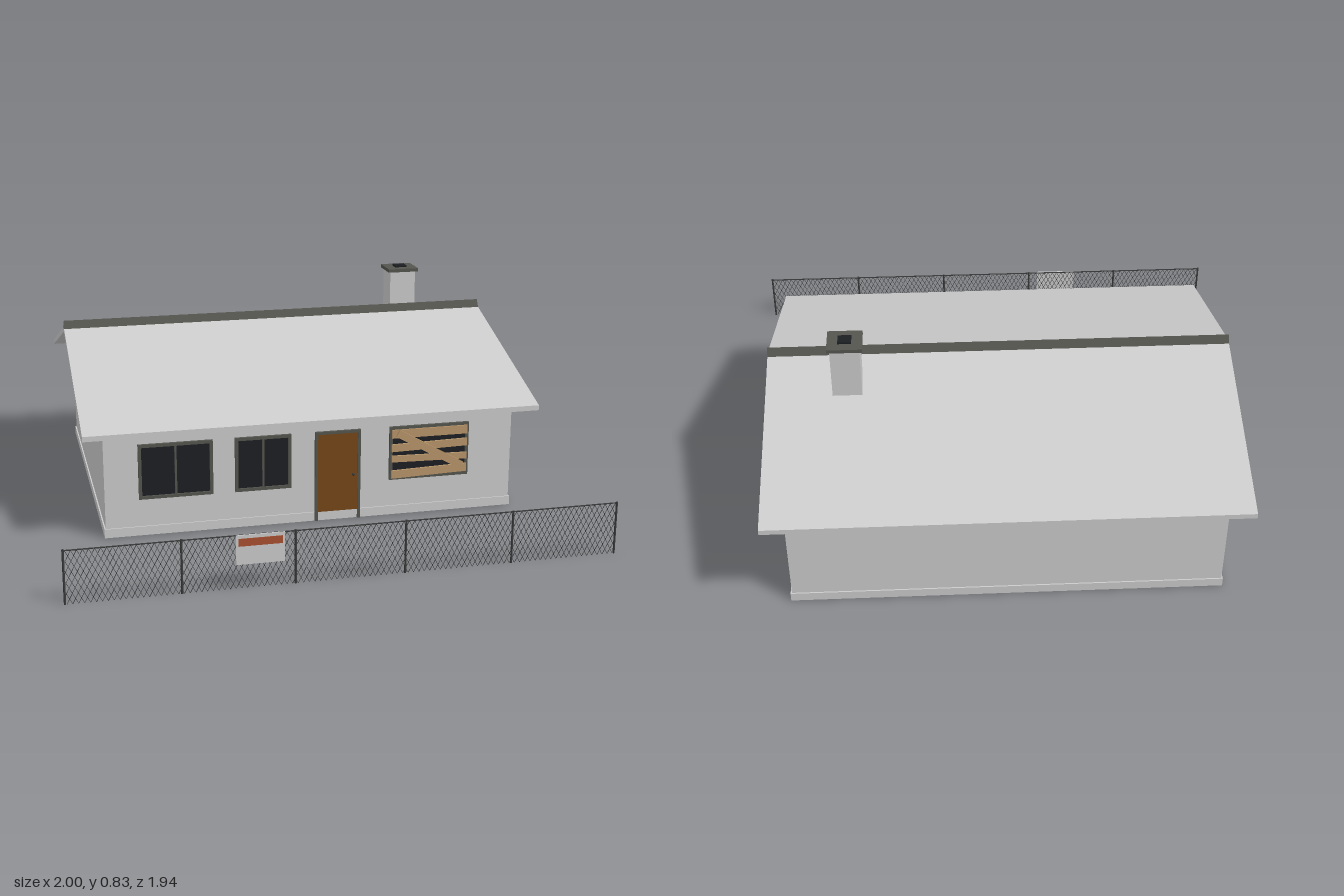
import * as THREE from 'three';
import { mergeGeometries } from 'three/addons/utils/BufferGeometryUtils.js';

const paint = (color) => new THREE.MeshStandardMaterial({ color });
const grey = paint(0xcccccc);
const trim = paint(0x55554f);
const dark = paint(0x3a3b3a);
const glass = paint(0x1c1f23);
const wood = paint(0x744618);
const plank = paint(0xb8966a);
const red = paint(0xa8502f);

const RIDGE_Z = -0.245;
const FRONT = 0.4;

export function createModel() {
  const house = new THREE.Group();
  house.name = 'house';

  const add = (name, geometry, material, parent = house) => {
    const mesh = new THREE.Mesh(geometry, material);
    mesh.name = name;
    parent.add(mesh);
    return mesh;
  };
  // Box given by its limits on each axis
  const box = (name, [x0, x1], [y0, y1], [z0, z1], material, parent) => {
    const mesh = add(name, new THREE.BoxGeometry(x1 - x0, y1 - y0, z1 - z0), material, parent);
    mesh.position.set((x0 + x1) / 2, (y0 + y1) / 2, (z0 + z1) / 2);
    return mesh;
  };
  // Prism along x from a (z, y) outline
  const prism = (name, outline, halfLength, material) => {
    const shape = new THREE.Shape(outline.map(([z, y]) => new THREE.Vector2(-z, y)));
    const geometry = new THREE.ExtrudeGeometry(shape, { depth: halfLength * 2, bevelEnabled: false });
    geometry.translate(0, 0, -halfLength).rotateY(Math.PI / 2);
    return add(name, geometry, material);
  };
  const group = (name, parent = house) => {
    const g = new THREE.Group();
    g.name = name;
    parent.add(g);
    return g;
  };

  // Walls, footing and gables
  box('walls', [-0.8, 0.8], [0, 0.436], [-0.89, FRONT], grey);
  box('footing', [-0.805, 0.805], [0, 0.035], [-0.895, FRONT + 0.005], grey);
  prism('gables', [[FRONT, 0.436], [RIDGE_Z, 0.645], [-0.89, 0.436]], 0.8, grey);

  // Pitched roof slabs and ridge cap
  prism('roof', [[0.48, 0.41], [0.48, 0.43], [RIDGE_Z, 0.666], [-0.97, 0.43],
    [-0.97, 0.41], [RIDGE_Z, 0.645]], 0.88, grey);
  prism('ridgeCap', [[RIDGE_Z + 0.02, 0.658], [RIDGE_Z, 0.69], [RIDGE_Z - 0.02, 0.658]], 0.88, trim);

  // Chimney
  const chimney = group('chimney');
  box('chimneyStack', [0.52, 0.63], [0.5, 0.806], [-0.44, -0.34], grey, chimney);
  box('chimneyCap', [0.51, 0.64], [0.805, 0.819], [-0.45, -0.33], trim, chimney);
  box('chimneyFlue', [0.55, 0.6], [0.815, 0.826], [-0.413, -0.367], glass, chimney);

  // Rectangular surround, optionally without the bottom rail
  const surround = (x0, x1, y0, y1, width, parent, sill = true) => {
    const z = [FRONT, FRONT + 0.011];
    box('frameLeft', [x1 - width, x1], [y0, y1], z, trim, parent);
    box('frameRight', [x0, x0 + width], [y0, y1], z, trim, parent);
    box('frameTop', [x0 + width, x1 - width], [y1 - width, y1], z, trim, parent);
    if (sill) box('frameBottom', [x0 + width, x1 - width], [y0, y0 + width], z, trim, parent);
  };
  const windowUnit = (name, x0, x1, mullion) => {
    const unit = group(name);
    surround(x0, x1, 0.145, 0.36, 0.012, unit);
    box('pane', [x0 + 0.01, x1 - 0.01], [0.155, 0.35], [FRONT, FRONT + 0.004], glass, unit);
    const mid = (x0 + x1) / 2;
    if (mullion) box('mullion', [mid - 0.004, mid + 0.004], [0.155, 0.35], [FRONT, FRONT + 0.009], trim, unit);
    return unit;
  };
  windowUnit('wideWindow', -0.672, -0.39, true);
  windowUnit('narrowWindow', -0.305, -0.087, true);

  // Boarded window
  const boarded = windowUnit('boardedWindow', 0.302, 0.622, false);
  const boards = [ // y, height, tilt
    [0.332, 0.034, 0], [0.278, 0.03, 0.02], [0.228, 0.026, -0.02], [0.172, 0.032, 0.03],
  ];
  for (const [y, height, tilt] of boards) {
    const board = add('board', new THREE.BoxGeometry(0.305, height, 0.008), plank, boarded);
    board.position.set(0.462, y, FRONT + 0.013);
    board.rotation.z = tilt;
  }
  const brace = add('diagonalBoard', new THREE.BoxGeometry(0.3, 0.03, 0.007), plank, boarded);
  brace.position.set(0.462, 0.262, FRONT + 0.0205);
  brace.rotation.z = -0.52;

  // Door
  const door = group('door');
  surround(0.006, 0.186, 0, 0.36, 0.011, door, false);
  box('doorLeaf', [0.016, 0.176], [0.035, 0.35], [FRONT, FRONT + 0.007], wood, door);
  const knob = add('doorKnob', new THREE.SphereGeometry(0.006, 12, 8), dark, door);
  knob.position.set(0.158, 0.18, FRONT + 0.011);

  // Chain-link fence
  const fence = group('fence');
  const fenceZ = 0.96;
  for (let i = 0; i < 6; i++) {
    const post = add('fencePost', new THREE.CylinderGeometry(0.004, 0.004, 0.2, 8), dark, fence);
    post.position.set(-0.996 + i * 0.3984, 0.1, fenceZ);
  }
  const rail = add('fenceRail', new THREE.CylinderGeometry(0.0025, 0.0025, 2, 8), dark, fence);
  rail.rotation.z = Math.PI / 2;
  rail.position.set(0, 0.196, fenceZ);

  // Crossing wires, clipped at the fence ends
  const wires = [];
  const height = 0.195, run = 0.1, pitch = 0.02;
  for (const side of [-1, 1]) {
    for (let start = -0.99 - run; start < 0.99; start += pitch) {
      const t0 = Math.max(0, (-0.996 - start) / run);
      const t1 = Math.min(1, (0.996 - start) / run);
      if (t1 - t0 < 0.02) continue;
      const wire = new THREE.BoxGeometry(0.0014, Math.hypot(run, height) * (t1 - t0), 0.0014);
      wire.rotateZ(-side * Math.atan2(run, height));
      const mid = (t0 + t1) / 2;
      wire.translate(side * (start + run * mid), height * mid, fenceZ + side * 0.0007);
      wires.push(wire);
    }
  }
  add('fenceMesh', mergeGeometries(wires), dark, fence);

  // Blank notice board with a coloured band
  const notice = group('noticeBoard', fence);
  box('noticePanel', [-0.41, -0.238], [0.09, 0.198], [0.962, 0.967], grey, notice);
  box('noticeBand', [-0.402, -0.246], [0.158, 0.186], [0.966, 0.969], red, notice);

  return house;
}
